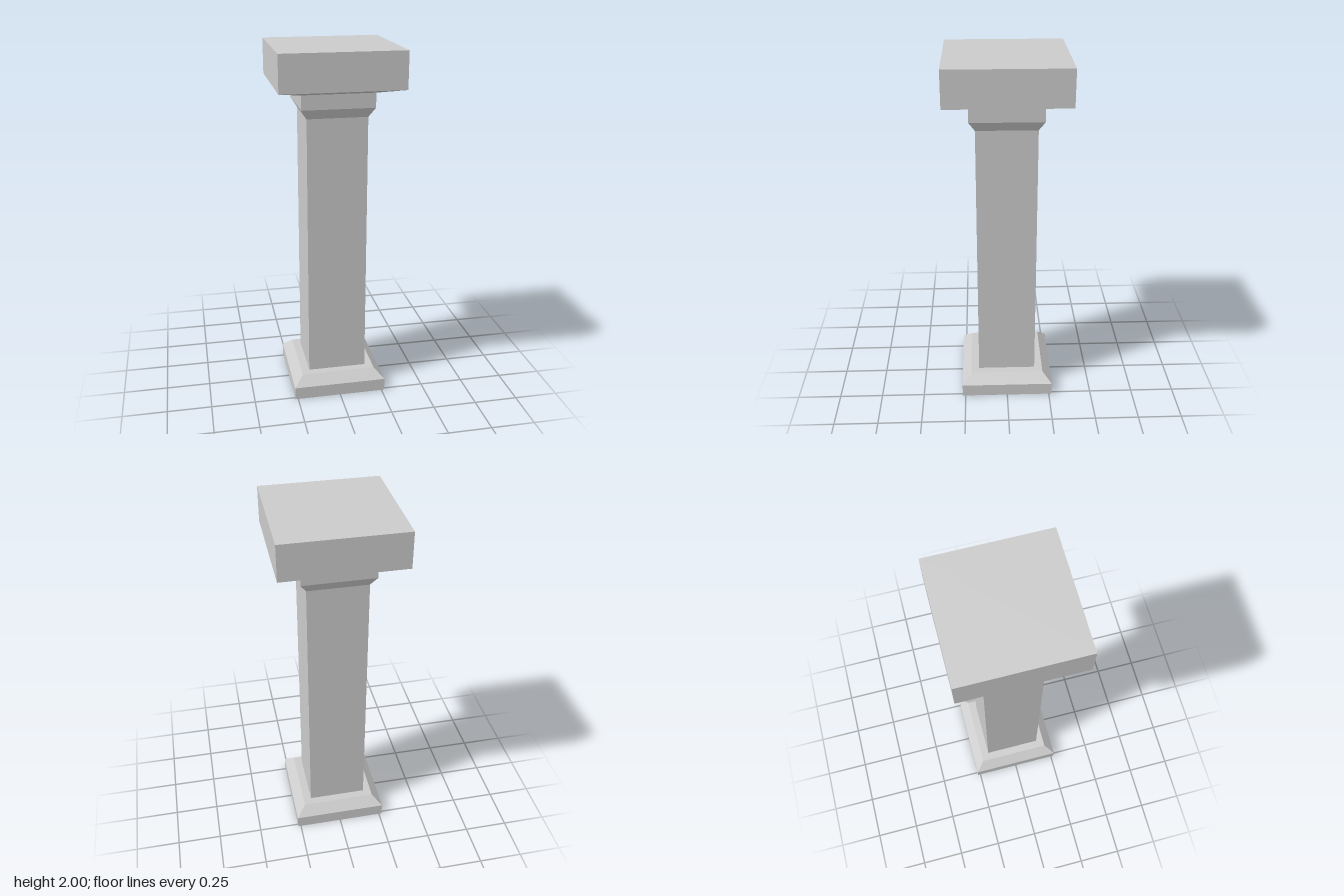
import * as THREE from 'three';

const material = new THREE.MeshStandardMaterial({ color: 0xcccccc, flatShading: true });

// Square section swept up a profile of [half width, height] points
function squarePart(name, profile) {
  const points = profile.map(([half, y]) => new THREE.Vector2(half * Math.SQRT2, y));
  const geometry = new THREE.LatheGeometry(points, 4, Math.PI / 4).toNonIndexed();
  geometry.computeVertexNormals();
  const mesh = new THREE.Mesh(geometry, material);
  mesh.name = name;
  return mesh;
}

export function createModel() {
  const column = new THREE.Group();
  column.name = 'column';
  column.add(
    // Plinth with a bevelled upper edge and a ledge around the shaft
    squarePart('base', [[0, 0], [0.267, 0], [0.267, 0.073], [0.213, 0.127], [0.167, 0.127]]),
    squarePart('shaft', [[0.167, 0.127], [0.167, 1.633]]),
    // Flared neck below the top slab
    squarePart('neck', [[0.167, 1.633], [0.2, 1.687], [0.2, 1.767]]),
    // Slab with a sloped underside
    squarePart('topSlab', [[0.2, 1.767], [0.333, 1.8], [0.333, 2], [0, 2]])
  );
  return column;
}
